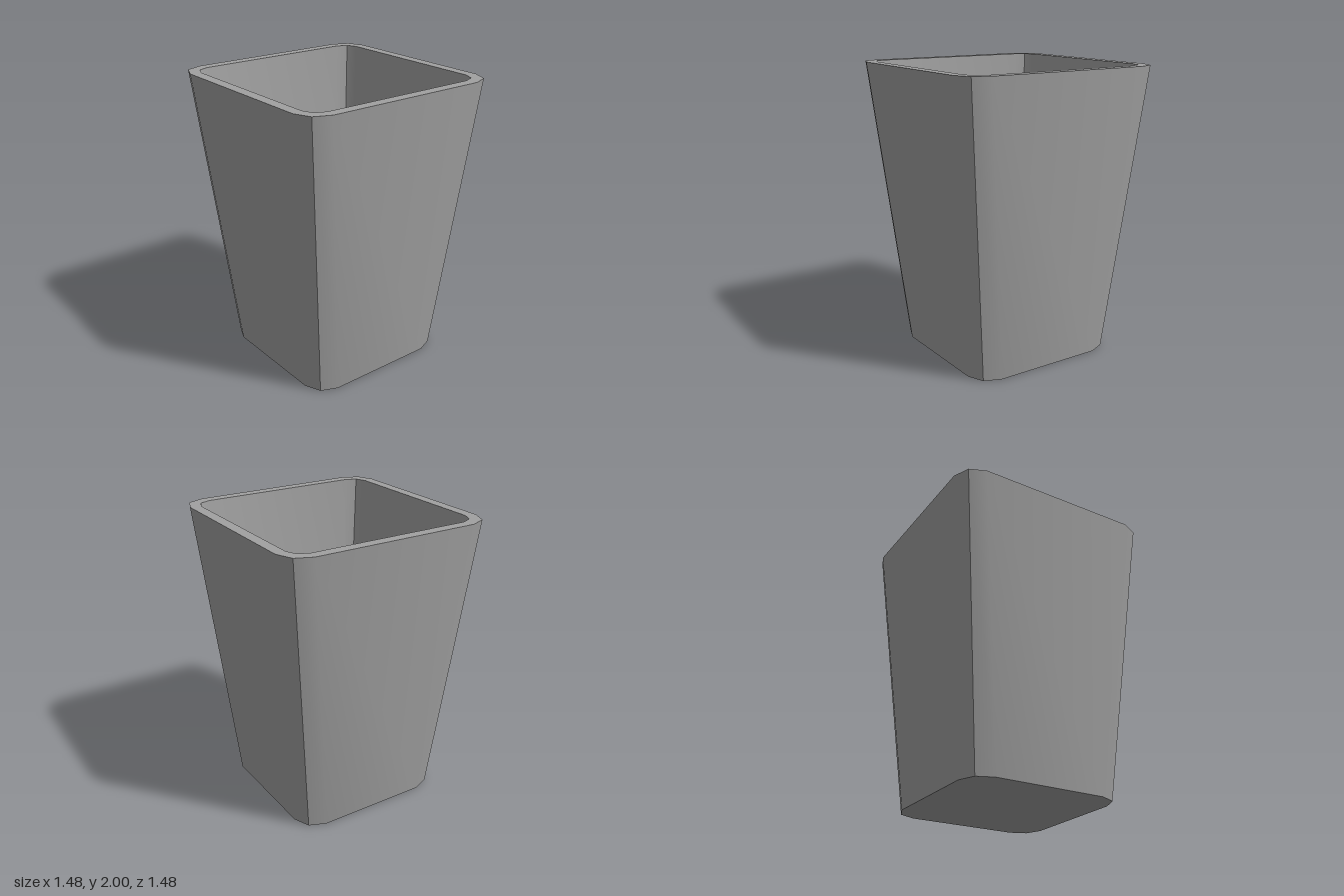
import * as THREE from 'three';
import { toCreasedNormals } from 'three/addons/utils/BufferGeometryUtils.js';

// Square ring with two-facet rounded corners: half width, corner radius, height
function ring(half, radius, y) {
  const points = [];
  const c = half - radius;
  for (let corner = 0; corner < 4; corner++) {
    const middle = Math.PI / 4 + corner * Math.PI / 2;
    const cx = Math.sign(Math.cos(middle)) * c;
    const cz = Math.sign(Math.sin(middle)) * c;
    for (let k = -1; k <= 1; k++) {
      const a = middle + k * Math.PI / 4;
      points.push(new THREE.Vector3(cx + radius * Math.cos(a), y, cz + radius * Math.sin(a)));
    }
  }
  return points;
}

// Skin between two rings; a missing ring means a flat cap closed at its centre
function skin(from, to) {
  const positions = [];
  const ringPoints = from || to;
  const centre = new THREE.Vector3(0, ringPoints[0].y, 0);
  const n = ringPoints.length;
  const add = (...corners) => corners.forEach((p) => positions.push(p.x, p.y, p.z));
  for (let i = 0; i < n; i++) {
    const j = (i + 1) % n;
    if (!from) add(centre, to[i], to[j]);
    else if (!to) add(from[i], centre, from[j]);
    else {
      add(from[i], to[i], to[j]);
      add(from[i], to[j], from[j]);
    }
  }
  const geometry = new THREE.BufferGeometry();
  geometry.setAttribute('position', new THREE.Float32BufferAttribute(positions, 3));
  // Soft where flats meet corner facets, sharp along the corner diagonals
  return toCreasedNormals(geometry, THREE.MathUtils.degToRad(33));
}

export function createModel() {
  const group = new THREE.Group();
  group.name = 'taperedPot';
  const grey = new THREE.MeshStandardMaterial({ color: 0xa0a0a0 });
  grey.name = 'grey';

  const outerBottom = ring(0.549, 0.16, 0);
  const outerTop = ring(0.738, 0.16, 2);
  const innerTop = ring(0.664, 0.105, 2);
  const innerBottom = ring(0.475, 0.075, 0.07);

  const parts = [
    ['base', null, outerBottom],
    ['outerWall', outerBottom, outerTop],
    ['rim', outerTop, innerTop],
    ['innerWall', innerTop, innerBottom],
    ['innerFloor', innerBottom, null],
  ];
  for (const [name, from, to] of parts) {
    const mesh = new THREE.Mesh(skin(from, to), grey);
    mesh.name = name;
    group.add(mesh);
  }
  return group;
}
